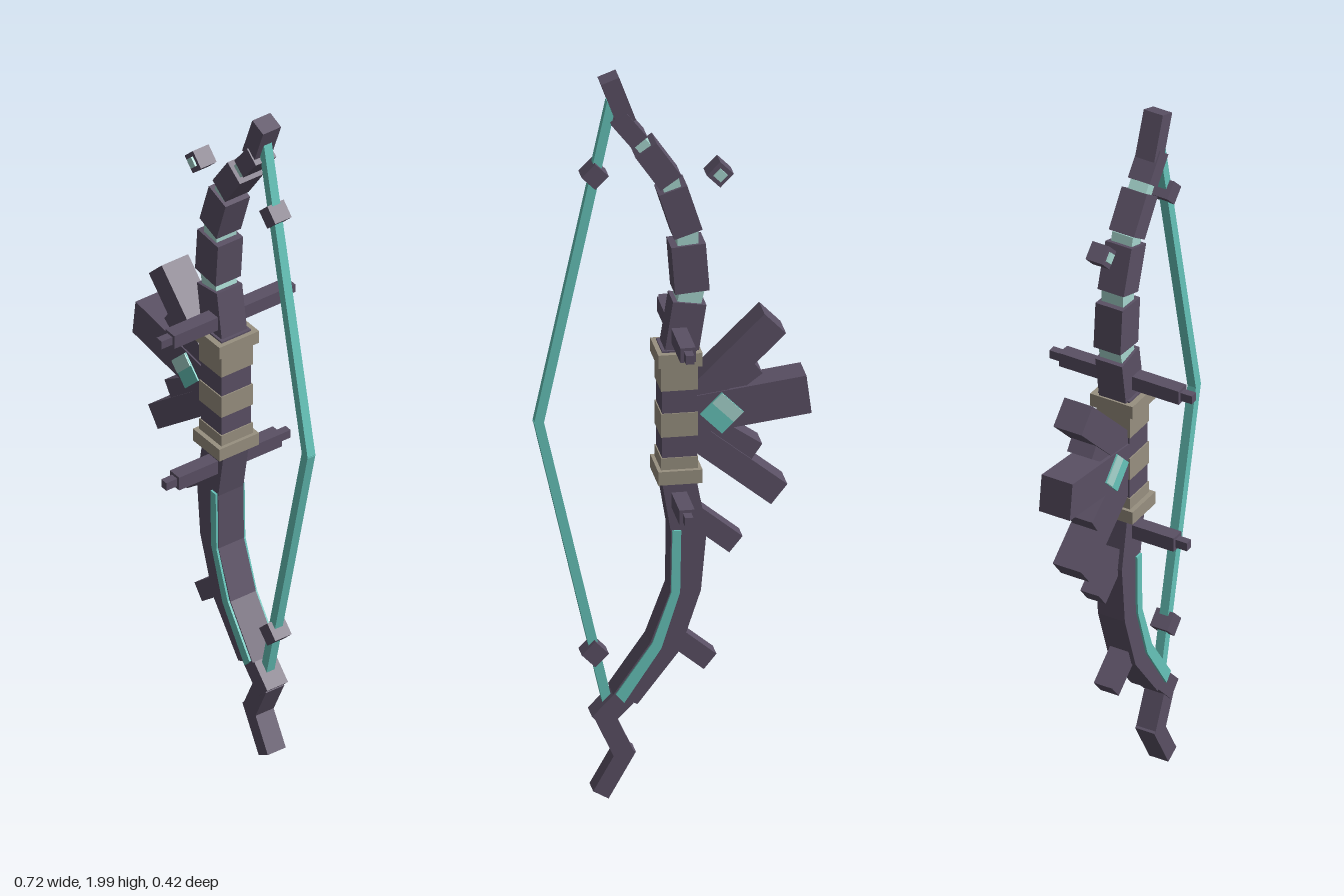
import * as THREE from 'three';

const mat = (name, color) => Object.assign(new THREE.MeshStandardMaterial({ color }), { name });

export function createModel() {
  const bow = new THREE.Group();
  bow.name = 'bow';
  const dark = mat('dark wood', 0x5a5064);
  const teal = mat('teal', 0x66c4ba);
  const pale = mat('pale teal', 0xa6d6ce);
  const beige = mat('beige wrap', 0x989080);

  const box = (name, material, w, h, d, x, y, z = 0, turn = 0) => {
    const m = new THREE.Mesh(new THREE.BoxGeometry(w, h, d), material);
    m.name = name;
    m.position.set(x, y, z);
    m.rotation.z = turn;
    bow.add(m);
  };
  // Box whose length runs between two points of the bow's plane
  const bar = (name, material, [x1, y1, x2, y2], w, d) => box(name, material, w,
    Math.hypot(x2 - x1, y2 - y1), d, (x1 + x2) / 2, (y1 + y2) / 2, 0, Math.atan2(x1 - x2, y2 - y1));
  // Flat ribbon outlined by left/right edges, extruded evenly through z
  const ribbon = (name, material, rows, depth) => {
    const outline = [...rows.map(([l, , y, dy = 0]) => [l, y - dy]),
      ...rows.map(([, r, y, dy = 0]) => [r, y + dy]).reverse()];
    const shape = new THREE.Shape(outline.map(([x, y]) => new THREE.Vector2(x, y)));
    const g = new THREE.ExtrudeGeometry(shape, { depth, bevelEnabled: false });
    g.translate(0, 0, -depth / 2);
    const m = new THREE.Mesh(g, material);
    m.name = name;
    bow.add(m);
  };

  // Upper limb: separate segments with a glowing core in the gaps
  const segments = [
    [[-0.02, 1.22, -0.043, 1.365], 0.088, 0.08],
    [[-0.05, 1.395, -0.04, 1.525], 0.09, 0.08],
    [[-0.04, 1.555, 0, 1.68], 0.077, 0.078],
    [[0.005, 1.7, 0.07, 1.795], 0.066, 0.075],
    [[0.085, 1.815, 0.14, 1.885], 0.05, 0.065],
    [[0.118, 1.87, 0.162, 1.99], 0.05, 0.057],
  ];
  segments.forEach(([line, w, d], i) => {
    bar('upperLimbSegment', dark, line, w, d);
    if (i > 0 && i < 5) {
      const [, , x, y] = segments[i - 1][0];
      const [nx, ny] = line;
      const dx = (nx - x) * 0.3, dy = (ny - y) * 0.3;
      bar('limbCore', pale, [x - dx, y - dy, nx + dx, ny + dy], w * 0.7, d * 0.82);
    }
  });

  // Lower limb with teal inlay along the inner edge
  ribbon('lowerLimb', dark, [
    [-0.06, 0.03, 0.88], [-0.087, 0.006, 0.735], [-0.072, 0.008, 0.57],
    [-0.018, 0.06, 0.42, 0.012], [0.093, 0.156, 0.28, 0.015],
  ], 0.08);
  ribbon('limbInlay', teal, [
    [-0.02, 0.003, 0.74], [-0.017, 0.006, 0.57],
    [0.032, 0.055, 0.425, 0.008], [0.128, 0.15, 0.285, 0.012],
  ], 0.092);
  bar('lowerTip', dark, [0.112, 0.295, 0.19, 0.215], 0.055, 0.066);
  bar('lowerTip', dark, [0.175, 0.23, 0.122, 0.115], 0.052, 0.058);
  bar('lowerTip', dark, [0.115, 0.14, 0.186, 0.015], 0.046, 0.057);

  // Grip with wraps and collars
  box('grip', dark, 0.09, 0.36, 0.094, -0.015, 1.06);
  for (const [y, h] of [[1.165, 0.07], [1.035, 0.065], [0.925, 0.04]])
    box('gripWrap', beige, 0.096, h, 0.1, -0.015, y);
  for (const y of [1.217, 0.894]) box('collar', beige, 0.115, 0.037, 0.126, -0.015, y);

  // Cross spikes pointing forward and back
  for (const [y, reach] of [[1.28, 0.178], [0.825, 0.163]]) {
    box('spike', dark, 0.04, 0.04, reach * 2, -0.015, y);
    box('spikeTip', dark, 0.022, 0.024, (reach + 0.034) * 2, -0.015, y);
  }

  // Fan of blades on the outer side
  const blades = [
    [[-0.265, 1.295, -0.04, 1.075], 0.08, 0.084],
    [[-0.352, 1.095, -0.04, 1.055], 0.105, 0.092],
    [[-0.275, 0.822, -0.04, 1.01], 0.068, 0.084],
    [[-0.215, 1.182, -0.05, 1.06], 0.06, 0.074],
    [[-0.215, 0.938, -0.05, 1.05], 0.06, 0.074],
    [[-0.165, 0.685, -0.06, 0.77], 0.055, 0.055],
    [[-0.098, 0.365, 0, 0.445], 0.052, 0.055],
  ];
  blades.forEach(([line, w, d], i) => bar(i < 5 ? 'fanBlade' : 'thorn', dark, line, w, d));

  // Gems
  const q = Math.PI / 4;
  box('fanGem', teal, 0.08, 0.08, 0.1, -0.125, 1.06, 0, q);
  for (const s of [1, -1])
    box('fanGemFacet', pale, 0.036, 0.078, 0.004, -0.14, 1.075, s * 0.051, -q);
  box('floatingGem', dark, 0.05, 0.05, 0.05, -0.125, 1.71, 0, q);
  box('floatingGemCore', pale, 0.026, 0.026, 0.062, -0.125, 1.71, 0, q);

  // String and its beads
  bar('string', teal, [0.155, 1.925, 0.345, 1.045], 0.025, 0.025);
  bar('string', teal, [0.345, 1.055, 0.165, 0.26], 0.025, 0.025);
  for (const y of [1.726, 0.404]) box('stringBead', dark, 0.05, 0.05, 0.052, 0.2, y, 0, q);

  return bow;
}
